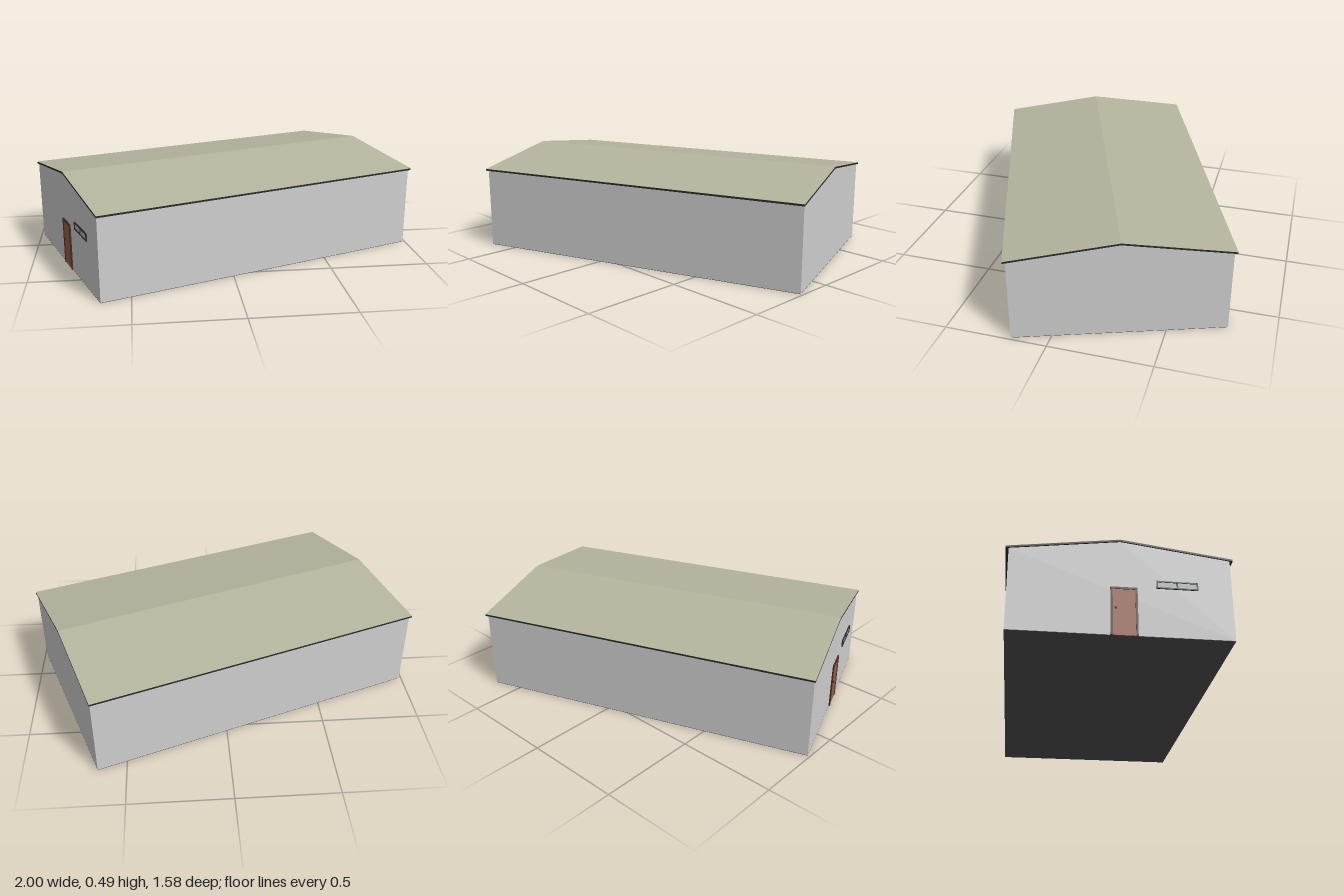
import * as THREE from 'three';

const mat = (name, color) => {
  const m = new THREE.MeshStandardMaterial({ color });
  m.name = name;
  return m;
};

export function createModel() {
  const wall = mat('wall grey', 0xcfcfcf);
  const roofing = mat('roof olive', 0xb4b49e);
  const trim = mat('dark trim', 0x2b2b2b);
  const floorGrey = mat('floor grey', 0x505050);
  const wood = mat('door brown', 0x9a5f48);
  const frameWood = mat('frame brown', 0x4a2c22);
  const glass = mat('pane grey', 0xb4b8ba);

  const model = new THREE.Group();
  model.name = 'hall';
  const building = new THREE.Group();
  building.name = 'building';
  building.rotation.y = 0.351;
  model.add(building);

  const L = 0.867, W = 0.507;       // half length and half width of the walls
  const RL = 0.873, RW = 0.521;     // the same for the roof
  const RIDGE = 0.493, EAVE = 0.422;
  const slope = (RIDGE - EAVE) / RW;

  const add = (name, geometry, material, parent = building) => {
    const mesh = new THREE.Mesh(geometry, material);
    mesh.name = name;
    parent.add(mesh);
    return mesh;
  };
  // Cross-section (across, up) swept along the building
  const sweep = (name, points, half, material) => {
    const shape = new THREE.Shape(points.map(([a, b]) => new THREE.Vector2(a, b)));
    const geo = new THREE.ExtrudeGeometry(shape, { depth: half * 2, bevelEnabled: false });
    geo.translate(0, 0, -half).rotateY(Math.PI / 2);
    return add(name, geo, material);
  };
  const chevron = (top, thick) => [
    [-RW, top - slope * RW - thick], [0, top - thick], [RW, top - slope * RW - thick],
    [RW, top - slope * RW], [0, top], [-RW, top - slope * RW],
  ];

  // Walls with gable ends, and the floor
  const wallTop = RIDGE - 0.01;
  sweep('walls', [[-W, 0.002], [W, 0.002], [W, wallTop - slope * W], [0, wallTop], [-W, wallTop - slope * W]], L, wall);
  add('floor', new THREE.BoxGeometry(L * 2, 0.002, W * 2).translate(0, 0.001, 0), floorGrey);

  // Dark roof slab with a thin covering
  sweep('roofSlab', chevron(RIDGE - 0.001, 0.009), RL, trim);
  sweep('roofCovering', chevron(RIDGE, 0.001), RL, roofing);

  // Box on the door gable: z centre, y centre, width, height, how far it stands out
  const onGable = (name, z, y, w, h, out, material, parent) =>
    add(name, new THREE.BoxGeometry(out, h, w), material, parent).position.set(-L - out / 2, y, z);

  // Door
  const door = new THREE.Group();
  door.name = 'door';
  building.add(door);
  const dz = 0.012;
  onGable('doorLeaf', dz, 0.115, 0.11, 0.23, 0.004, wood, door);
  for (const s of [-1, 1]) onGable('doorPost', dz + s * 0.056, 0.12, 0.01, 0.24, 0.007, frameWood, door);
  onGable('doorLintel', dz, 0.235, 0.102, 0.01, 0.007, frameWood, door);
  onGable('doorHandle', dz - 0.038, 0.135, 0.012, 0.008, 0.01, trim, door);

  // High window with two panes
  const win = new THREE.Group();
  win.name = 'window';
  building.add(win);
  const wz = 0.255, wy = 0.264, ww = 0.19, wh = 0.038, bar = 0.006;
  onGable('windowPanes', wz, wy, ww - bar, wh - bar, 0.003, glass, win);
  for (const s of [-1, 0, 1]) onGable('windowUpright', wz + s * (ww - bar) / 2, wy, bar, wh, 0.007, trim, win);
  for (const s of [-1, 1]) onGable('windowRail', wz, wy + s * (wh - bar) / 2, ww - bar, bar, 0.006, trim, win);

  return model;
}
